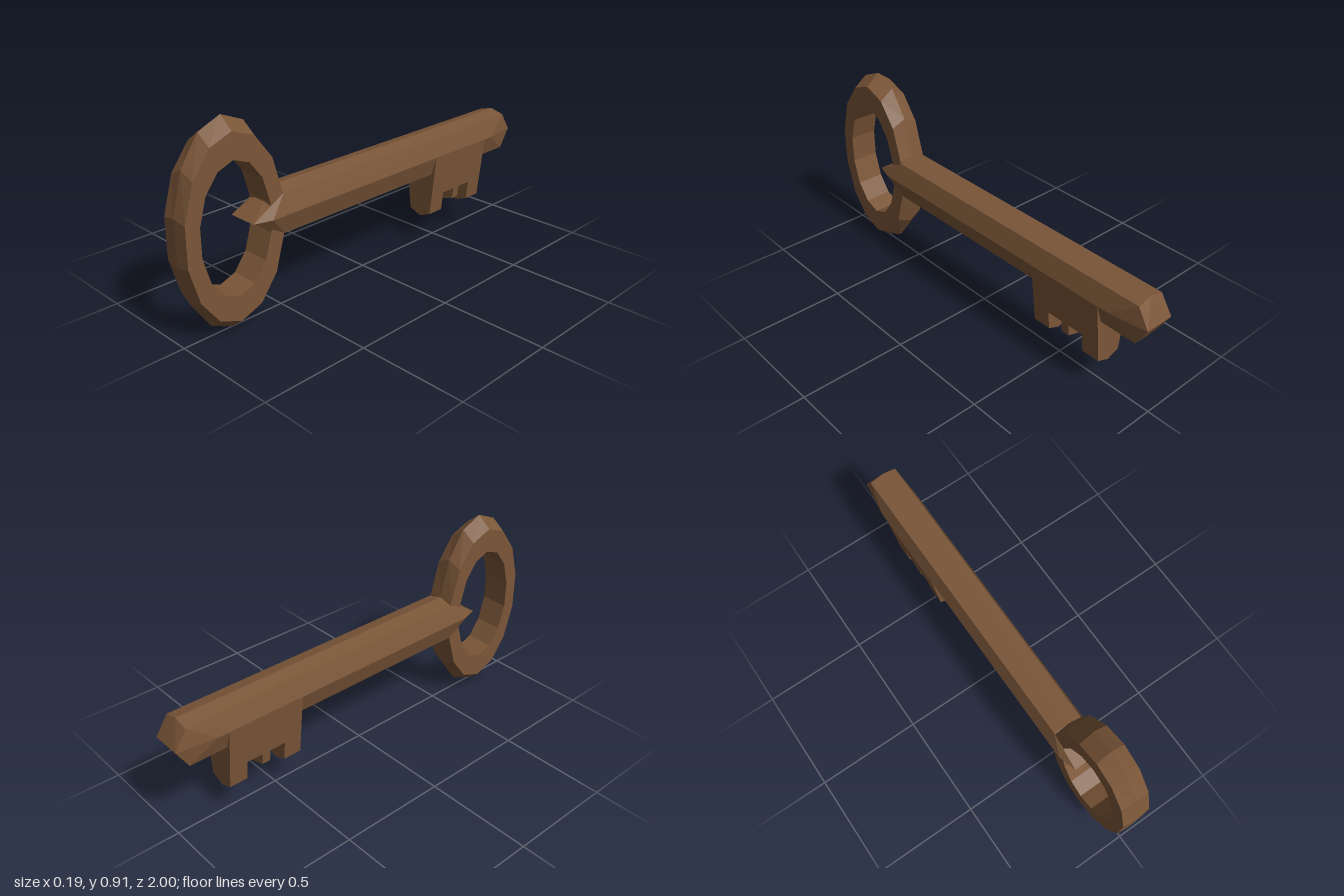
import * as THREE from 'three';
import { ConvexGeometry } from 'three/addons/geometries/ConvexGeometry.js';

const material = new THREE.MeshStandardMaterial({ color: 0x7b5638, flatShading: true });
const MID = 0.457; // height of the shaft and ring centre

function addPart(group, name, geometry) {
  const mesh = new THREE.Mesh(geometry, material);
  mesh.name = name;
  group.add(mesh);
  return mesh;
}

// Oval bow: a five-sided section swept around 14 steps
function bowGeometry() {
  const section = [ // x, vertical radius, depth radius
    [0, 0.457, 0.246], [0.067, 0.405, 0.242], [0.067, 0.29, 0.174],
    [-0.067, 0.29, 0.174], [-0.067, 0.405, 0.242],
  ];
  const steps = 14;
  const point = (i, j) => {
    const a = (i / steps) * Math.PI * 2;
    const [x, ry, rz] = section[j % section.length];
    return [x, MID + ry * Math.cos(a), 0.76 + rz * Math.sin(a)];
  };
  const positions = [];
  for (let i = 0; i < steps; i++) {
    for (let j = 0; j < section.length; j++) {
      const a = point(i, j), b = point(i + 1, j), c = point(i + 1, j + 1), d = point(i, j + 1);
      positions.push(...a, ...b, ...c, ...a, ...c, ...d);
    }
  }
  const geometry = new THREE.BufferGeometry();
  geometry.setAttribute('position', new THREE.Float32BufferAttribute(positions, 3));
  geometry.computeVertexNormals();
  return geometry;
}

// Faceted shaft with a wedge at each end
function shaftGeometry() {
  const points = [];
  const ends = [ // depth of the flat faces, the side ridge and the wedge edge
    { flat: 0.52, side: 0.6, tip: 0.683 },
    { flat: -0.945, side: -0.82, tip: -1 },
  ];
  for (const { flat, side, tip } of ends) {
    points.push(new THREE.Vector3(0, 0.56, flat), new THREE.Vector3(0, 0.36, flat));
    for (const s of [-1, 1]) {
      points.push(
        new THREE.Vector3(s * 0.067, 0.543, flat),
        new THREE.Vector3(s * 0.067, 0.364, flat),
        new THREE.Vector3(s * 0.095, 0.455, side),
        new THREE.Vector3(s * 0.07, 0.455, tip),
      );
    }
  }
  return new ConvexGeometry(points);
}

// Tapered block with a shallow ridge underneath, hanging from the shaft
function bitGeometry(zBack, zFront, bottom, ridge) {
  const top = 0.453;
  const w = 0.095 - (top - bottom - ridge) * 0.112;
  const shape = new THREE.Shape();
  shape.moveTo(-0.095, top);
  shape.lineTo(-w, bottom + ridge);
  shape.lineTo(0, bottom);
  shape.lineTo(w, bottom + ridge);
  shape.lineTo(0.095, top);
  const geometry = new THREE.ExtrudeGeometry(shape, { depth: zFront - zBack, bevelEnabled: false });
  return geometry.translate(0, 0, zBack);
}

export function createModel() {
  const key = new THREE.Group();
  key.name = 'key';
  addPart(key, 'bow', bowGeometry());
  addPart(key, 'shaft', shaftGeometry());

  // Bit: a web with two long teeth and a small one between
  const bit = new THREE.Group();
  bit.name = 'bit';
  addPart(bit, 'bitWeb', bitGeometry(-0.77, -0.4, 0.23, 0.016));
  addPart(bit, 'frontTooth', bitGeometry(-0.488, -0.4, 0.13, 0.024));
  addPart(bit, 'middleTooth', bitGeometry(-0.605, -0.565, 0.17, 0.02));
  addPart(bit, 'backTooth', bitGeometry(-0.77, -0.682, 0.13, 0.024));
  key.add(bit);
  return key;
}
